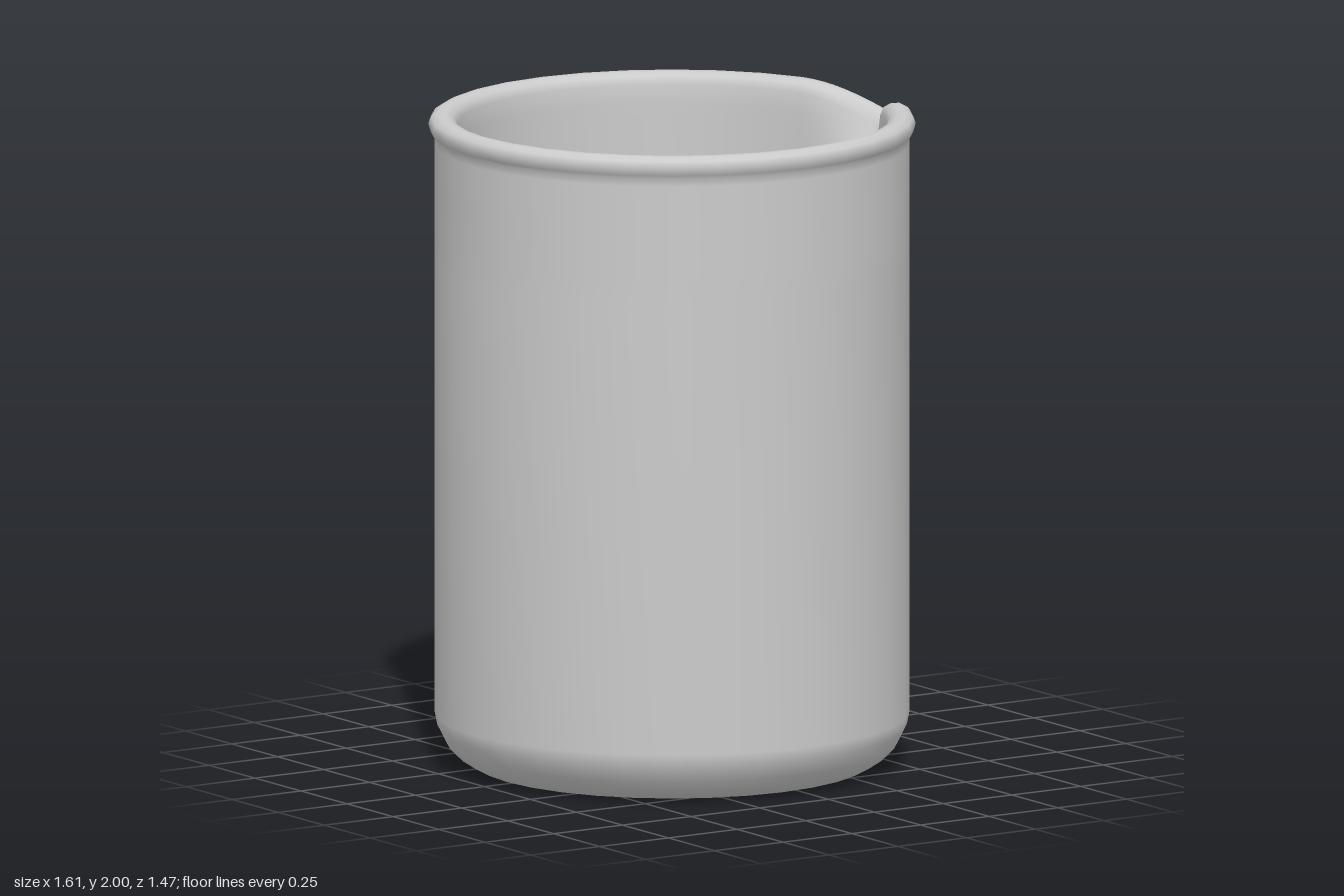
import * as THREE from 'three';

const SIDES = 32, CENTER_X = -0.067;

// Angles around the body, with extra steps near the spout at angle 0
function ringAngles() {
  const step = (Math.PI * 2) / SIDES, angles = [];
  for (let i = 0; i < SIDES; i++) {
    const fine = i < 2 || i >= SIDES - 2 ? 4 : 1;
    for (let k = 0; k < fine; k++) angles.push((i + k / fine) * step);
  }
  return angles;
}

// Pulls the upper wall outward and down into a pointed pouring spout
function spoutPoint(r, y, a) {
  const off = Math.min(a, Math.PI * 2 - a);
  const side = Math.pow(Math.max(0, 1 - off / 0.45), 2.6);
  const rise = Math.pow(Math.min(1, Math.max(0, (y - 1.55) / 0.4)), 2);
  const radius = r + 0.135 * side * rise;
  return [radius * Math.cos(a), y - 0.11 * side * rise, radius * Math.sin(a)];
}

// Revolves a profile of [radius, height] points through the spout rule
function revolve(profile) {
  const angles = ringAngles(), n = angles.length, positions = [], index = [];
  for (const [r, y] of profile) for (const a of angles) positions.push(...spoutPoint(r, y, a));
  for (let i = 0; i < profile.length - 1; i++) {
    for (let j = 0; j < n; j++) {
      const k = (j + 1) % n;
      const p = i * n + j, q = i * n + k, up = p + n, upNext = q + n;
      if (profile[i + 1][0] > 0) index.push(p, up, upNext);
      if (profile[i][0] > 0) index.push(p, upNext, q);
      else continue;
    }
  }
  const geometry = new THREE.BufferGeometry();
  geometry.setAttribute('position', new THREE.Float32BufferAttribute(positions, 3));
  geometry.setIndex(index);
  geometry.computeVertexNormals();
  return geometry;
}

export function createModel() {
  const group = new THREE.Group();
  group.name = 'beaker';
  const add = (name, profile, color) => {
    const mesh = new THREE.Mesh(revolve(profile), new THREE.MeshStandardMaterial({ color }));
    mesh.name = name;
    mesh.position.x = CENTER_X;
    group.add(mesh);
  };

  const spoutHeights = [1.55, 1.63, 1.7, 1.76, 1.82, 1.87, 1.91];

  // Outer base and wall, rolled rim, then inner wall
  add('beakerBody', [
    [0, 0], [0.57, 0], [0.6, 0.005], [0.645, 0.03], [0.685, 0.07], [0.71, 0.12], [0.718, 0.16],
    ...spoutHeights.map((y) => [0.718, y]),
    [0.718, 1.935], [0.73, 1.945], [0.737, 1.97], [0.73, 1.989], [0.71, 2],
    [0.685, 2], [0.662, 1.99], [0.651, 1.965],
    ...spoutHeights.slice().reverse().map((y) => [0.65, y]),
    [0.65, 0.09],
  ], 0xcccccc);

  // Blue inside floor with a slightly rounded edge
  add('insideFloor', [[0.65, 0.09], [0.635, 0.065], [0.6, 0.05], [0, 0.045]], 0x8c92f0);

  return group;
}
